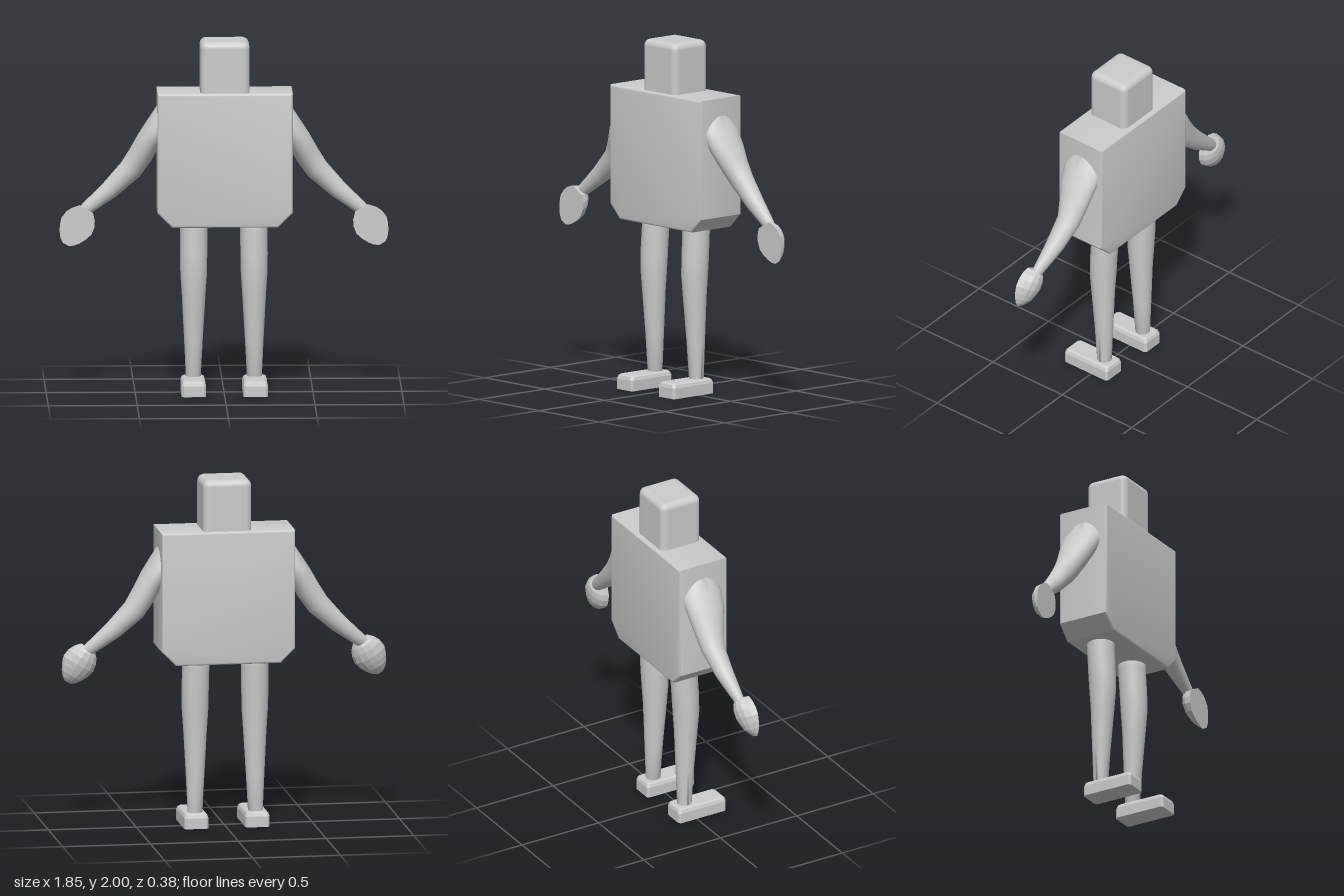
import * as THREE from 'three';
import { toCreasedNormals } from 'three/addons/utils/BufferGeometryUtils.js';
import { RoundedBoxGeometry } from 'three/addons/geometries/RoundedBoxGeometry.js';

const smooth = new THREE.MeshStandardMaterial({ color: 0xcccccc });
const faceted = new THREE.MeshStandardMaterial({ color: 0xcccccc, flatShading: true });

// Skins a list of equally long rings, caps both ends and turns the faces outward
function loft(rings) {
  const n = rings[0].length, pts = rings.flat(), tris = [];
  for (let i = 0; i < rings.length - 1; i++) {
    for (let j = 0; j < n; j++) {
      const a = i * n + j, b = i * n + (j + 1) % n;
      tris.push([a, b, b + n], [a, b + n, a + n]);
    }
  }
  const last = (rings.length - 1) * n;
  for (let j = 1; j < n - 1; j++) {
    tris.push([0, j + 1, j], [last, last + j, last + j + 1]);
  }
  const centre = pts.reduce((s, p) => s.add(p), new THREE.Vector3()).divideScalar(pts.length);
  let volume = 0;
  for (const t of tris) {
    const [a, b, c] = t.map(k => pts[k].clone().sub(centre));
    volume += a.dot(b.cross(c));
  }
  const geo = new THREE.BufferGeometry().setFromPoints(pts);
  geo.setIndex((volume < 0 ? tris.map(([a, b, c]) => [a, c, b]) : tris).flat());
  geo.computeVertexNormals();
  return geo;
}

// Ellipse around c, spanned by the radius vectors u and v
function ellipse(c, u, v, n = 24) {
  return Array.from({ length: n }, (_, i) => {
    const a = i / n * Math.PI * 2;
    return c.clone().addScaledVector(u, Math.cos(a)).addScaledVector(v, Math.sin(a));
  });
}

function add(parent, name, geo, mat = smooth) {
  const mesh = new THREE.Mesh(geo, mat);
  mesh.name = name;
  parent.add(mesh);
  return mesh;
}

const V = (x, y, z) => new THREE.Vector3(x, y, z);
const mirror = (rings, side) => rings.map(r => r.map(p => V(p.x * side, p.y, p.z)));

function torsoGeometry() {
  const b = 0.012, w = 0.38 - b, top = 1.71 - b, low = 0.95 + b, cut = 0.075;
  const shape = new THREE.Shape([
    [-w, top], [-w, low + cut], [-w + cut, low], [w - cut, low], [w, low + cut], [w, top],
  ].map(p => new THREE.Vector2(...p)));
  const geo = new THREE.ExtrudeGeometry(shape, {
    depth: 0.31 - 2 * b, bevelSize: b, bevelThickness: b, bevelSegments: 3,
  });
  geo.translate(0.004, 0, -0.19 + b);
  return toCreasedNormals(geo, 0.6);
}

// x, y, z, radius across, radius in z, tilt of the section (radians)
const ARM = [
  [0.31, 1.60, -0.04, 0.068, 0.09, 0.54],
  [0.365, 1.515, -0.043, 0.069, 0.122, 0.54],
  [0.42, 1.43, -0.046, 0.069, 0.112, 0.55],
  [0.47, 1.34, -0.056, 0.069, 0.088, 0.58],
  [0.525, 1.257, -0.066, 0.066, 0.067, 0.68],
  [0.64, 1.145, -0.058, 0.053, 0.052, 0.8],
  [0.77, 1.04, -0.045, 0.037, 0.03, 0.75],
  [0.79, 1.015, -0.045, 0.033, 0.027, 0.6],
];
function armGeometry(side) {
  return loft(mirror(ARM.map(([x, y, z, r, rz, t]) =>
    ellipse(V(x, y, z), V(r * Math.cos(t), r * Math.sin(t), 0), V(0, 0, rz))), side));
}

// Distance from the wrist, half width, depth
const HAND = [
  [0, 0.045, 0.066], [0.03, 0.074, 0.082], [0.065, 0.092, 0.085], [0.11, 0.098, 0.08],
  [0.15, 0.085, 0.066], [0.185, 0.066, 0.05], [0.212, 0.045, 0.028], [0.23, 0.02, 0.008],
];
function handGeometry(side) {
  const steps = 7;
  return loft(mirror(HAND.map(([s, w, d]) =>
    Array.from({ length: steps + 1 }, (_, i) => {
      const a = i / steps * Math.PI, q = w * Math.cos(a);
      return V(0.775 + 0.5 * s + 0.86 * q, 1.04 - 0.86 * s + 0.5 * q, -d * Math.sin(a));
    })), side));
}

// y, x, z, radius in x, radius in z
const LEG = [
  [1.0, 0.168, -0.043, 0.077, 0.078],
  [0.92, 0.168, -0.042, 0.077, 0.078],
  [0.78, 0.17, -0.034, 0.077, 0.078],
  [0.67, 0.17, -0.029, 0.075, 0.076],
  [0.55, 0.17, -0.03, 0.067, 0.067],
  [0.3, 0.171, -0.037, 0.053, 0.052],
  [0.06, 0.172, -0.041, 0.041, 0.04],
];
function legGeometry(side) {
  return loft(mirror(LEG.map(([y, x, z, rx, rz]) =>
    ellipse(V(x, y, z), V(rx, 0, 0), V(0, 0, rz))), side));
}

// Block with clipped corners and a chamfered top
function footGeometry(side) {
  const ring = (y, inset) => {
    const w = 0.069 - inset, f = 0.195 - inset, b = -0.115 + inset, c = 0.012;
    return [
      [w, f - c], [w - c, f], [-w + c, f], [-w, f - c],
      [-w, b + c], [-w + c, b], [w - c, b], [w, b + c],
    ].map(([x, z]) => V(0.174 + x, y, z));
  };
  return loft(mirror([ring(0, 0), ring(0.06, 0), ring(0.078, 0.006), ring(0.086, 0.017)], side));
}

export function createModel() {
  const model = new THREE.Group();
  model.name = 'figure';

  add(model, 'torso', torsoGeometry());

  // The lower rounding of the head sinks into the torso
  const head = add(model, 'head', new RoundedBoxGeometry(0.277, 0.35, 0.257, 5, 0.038));
  head.position.set(0.004, 1.825, -0.033);

  for (const [label, side] of [['left', 1], ['right', -1]]) {
    add(model, label + 'Arm', armGeometry(side));
    add(model, label + 'Hand', handGeometry(side), faceted);
    add(model, label + 'Leg', legGeometry(side));
    add(model, label + 'Foot', footGeometry(side), faceted);
  }
  return model;
}
